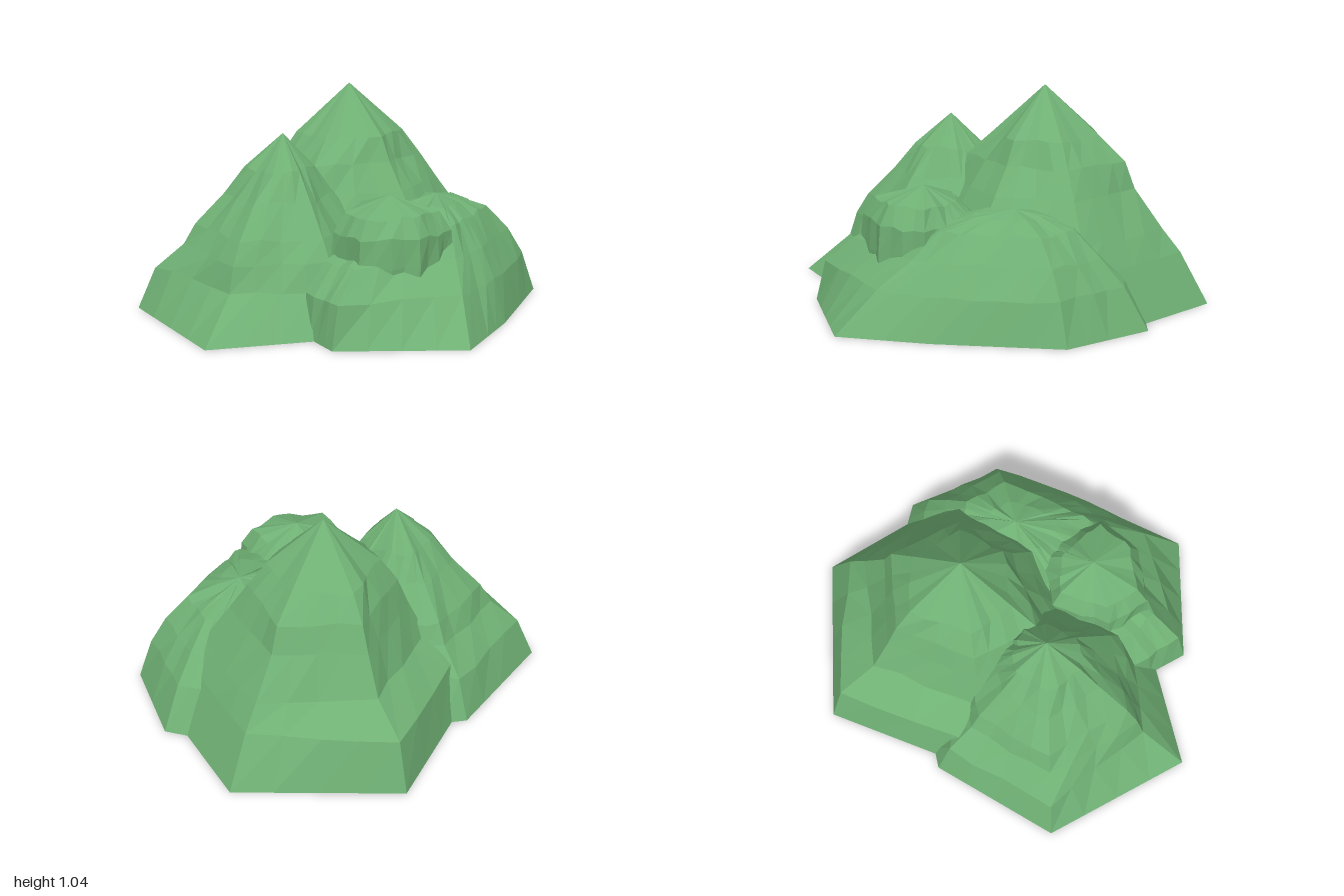
import * as THREE from 'three';

const green = new THREE.MeshStandardMaterial({ color: 0x6fb074, flatShading: true });
const SPLIT = 4; // pieces per side of each ring

// Small repeatable noise in -0.5..0.5
function noise(a, b, c) {
  const s = Math.sin(a * 12.99 + b * 78.23 + c * 37.72) * 43758.55;
  return s - Math.floor(s) - 0.5;
}

// A faceted hill. levels: ring heights. ridges: [foot x, foot z, reach per level],
// counter-clockwise from above; reach is the share of the way from apex to foot.
function hill(name, apex, levels, ridges, rough, seed) {
  const [ax, ay, az] = apex;
  const n = ridges.length * SPLIT;
  const pos = [], index = [];
  levels.forEach((y, i) => {
    for (let k = 0; k < n; k++) {
      const r = Math.floor(k / SPLIT), f = (k % SPLIT) / SPLIT;
      const [p, q] = [ridges[r], ridges[(r + 1) % ridges.length]].map(([x, z, reach]) =>
        [ax + (x - ax) * reach[i], az + (z - az) * reach[i]]);
      const j = i === 0 || f === 0 ? 0 : rough; // feet and ridges stay crisp
      pos.push(
        p[0] + (q[0] - p[0]) * f + noise(k, i, seed) * j,
        y + noise(i, k, seed + 3) * j,
        p[1] + (q[1] - p[1]) * f + noise(k, i, seed + 7) * j);
    }
  });
  const top = levels.length * n, bottom = top + 1;
  pos.push(ax, ay, az, ax, levels[0], az);
  for (let i = 0; i < levels.length; i++) {
    for (let k = 0; k < n; k++) {
      const a = i * n + k, b = i * n + (k + 1) % n;
      if (i === levels.length - 1) index.push(a, b, top);
      else index.push(a, b, b + n, a, b + n, a + n);
      if (i === 0) index.push(b, a, bottom);
    }
  }
  const geo = new THREE.BufferGeometry();
  geo.setAttribute('position', new THREE.Float32BufferAttribute(pos, 3));
  geo.setIndex(index);
  geo.computeVertexNormals();
  const mesh = new THREE.Mesh(geo, green);
  mesh.name = name;
  return mesh;
}

export function createModel() {
  const group = new THREE.Group();
  group.name = 'mountain';

  // Tall peak with a stepped back
  const east = [1, 0.83, 0.72, 0.55, 0.49, 0.33];
  const back = [1, 0.91, 0.66, 0.54, 0.47, 0.36];
  const front = [1, 0.85, 0.7, 0.53, 0.41, 0.33];
  group.add(hill('mainPeak', [0.23, 1.04, -0.2], [0, 0.25, 0.36, 0.55, 0.68, 0.8], [
    [1, -0.48, east],
    [0.37, -0.99, back],
    [-0.4, -0.6, back],
    [-0.55, 0.1, [1, 0.85, 0.75, 0.58, 0.47, 0.31]],
    [0.2, 0.55, front],
    [0.87, 0.3, [1, 0.83, 0.72, 0.55, 0.44, 0.33]],
  ], 0.025, 1));

  // Lower peak beside it
  const west = [1, 0.7, 0.65, 0.57, 0.38, 0.24];
  const shelf = [1, 0.88, 0.68, 0.6, 0.4, 0.26];
  group.add(hill('secondPeak', [-0.28, 0.86, -0.12], [0, 0.2, 0.32, 0.42, 0.57, 0.7], [
    [0.38, -0.1, west],
    [0.2, -0.55, west],
    [-0.2, -0.77, shelf],
    [-0.83, -0.57, shelf],
    [-1, 0.17, west],
    [-0.4, 0.49, [1, 0.8, 0.7, 0.6, 0.42, 0.26]],
    [0.2, 0.3, west],
  ], 0.025, 2));

  // Broad foothill along the front
  const side = [1, 0.82, 0.64, 0.45, 0.22];
  const nose = [1, 0.77, 0.57, 0.43, 0.24];
  group.add(hill('frontFoothill', [0.38, 0.53, 0.27], [0, 0.2, 0.33, 0.45, 0.5], [
    [0.99, 0.07, side],
    [0.8, -0.2, side],
    [-0.3, 0, side],
    [-0.53, 0.3, [1, 0.97, 0.84, 0.4, 0.2]],
    [-0.59, 0.57, [1, 0.95, 0.8, 0.4, 0.2]],
    [-0.12, 0.98, nose],
    [0.3, 0.81, [1, 0.84, 0.67, 0.45, 0.26]],
    [0.84, 0.52, [1, 0.87, 0.72, 0.5, 0.24]],
  ], 0.022, 3));

  // Blunt rock knoll on the foothill
  const blunt = [1, 1, 0.96, 0.77];
  group.add(hill('rockKnoll', [-0.06, 0.61, 0.39], [0.15, 0.32, 0.45, 0.54], [
    [0.21, 0.38, [1, 1, 0.96, 0.55]],
    [0.18, 0.26, [1, 1, 0.96, 0.6]],
    [-0.05, 0.12, blunt],
    [-0.32, 0.27, blunt],
    [-0.36, 0.5, blunt],
    [-0.12, 0.66, blunt],
    [0.13, 0.63, blunt],
  ], 0.022, 4));

  return group;
}
